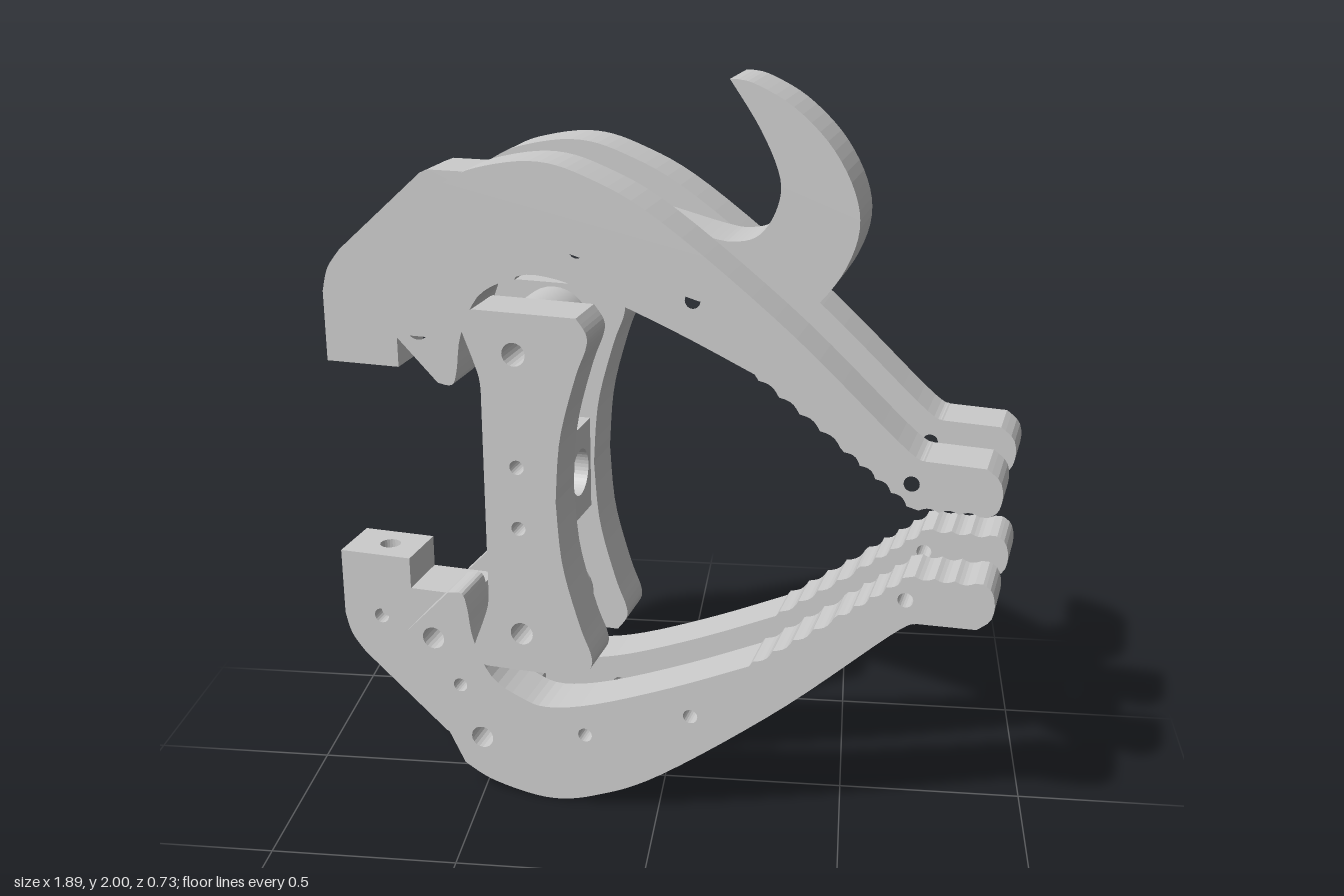
import * as THREE from 'three';

const MID = 0.903; // height of the mirror plane between upper and lower halves
const FRONT = [0.062, 0.206], BACK = [-0.252, -0.109], CORE = [-0.108, 0.06];
const material = new THREE.MeshStandardMaterial({ color: 0xcccccc });

const flipY = y => 2 * MID - y;
const smooth = (pts, n) =>
  new THREE.SplineCurve(pts.map(p => new THREE.Vector2(...p))).getPoints(n).map(p => [p.x, p.y]);

function addMesh(group, name, geometry) {
  const mesh = new THREE.Mesh(geometry, material);
  mesh.name = name;
  group.add(mesh);
  return mesh;
}

// Flat plate from an outline and [x, y, radius] holes, spanning z0..z1
function plate(group, name, outline, holes, [z0, z1], lower = false) {
  const fy = y => (lower ? flipY(y) : y);
  const shape = new THREE.Shape(outline.map(([x, y]) => new THREE.Vector2(x, fy(y))));
  for (const [x, y, r] of holes) {
    shape.holes.push(new THREE.Path().absarc(x, fy(y), r, 0, Math.PI * 2, true));
  }
  const geo = new THREE.ExtrudeGeometry(shape, { depth: z1 - z0, bevelEnabled: false, curveSegments: 10 });
  geo.translate(0, 0, z0);
  return addMesh(group, name, geo);
}

// Scalloped edge running along a polyline segment
function teeth([x0, y0], [x1, y1], count, depth) {
  const pts = [], steps = 5, len = Math.hypot(x1 - x0, y1 - y0);
  const nx = (y1 - y0) / len, ny = -(x1 - x0) / len;
  for (let i = 0; i <= count * steps; i++) {
    const t = i / (count * steps);
    const d = -depth * Math.abs(Math.sin(Math.PI * count * t));
    pts.push([x0 + (x1 - x0) * t + nx * d, y0 + (y1 - y0) * t + ny * d]);
  }
  return pts;
}

// Curved jaw arm with ridged gripping edge
const armOutline = [
  ...smooth([[-0.53, 1.73], [-0.44, 1.775], [-0.28, 1.802], [-0.14, 1.77], [0.045, 1.675],
    [0.37, 1.425], [0.66, 1.16], [0.72, 1.122]], 40),
  ...smooth([[0.87, 1.118], [0.903, 1.09], [0.912, 1.05], [0.903, 1.01], [0.88, 0.992]], 10),
  ...teeth([0.86, 0.992], [0.71, 0.992], 3, -0.008),
  ...teeth([0.68, 1.0], [0.52, 1.125], 4, -0.01),
  ...teeth([0.51, 1.135], [0.3, 1.29], 4, -0.01),
  ...smooth([[0.29, 1.305], [0.08, 1.4], [-0.14, 1.485], [-0.28, 1.515], [-0.36, 1.495],
    [-0.44, 1.445], [-0.49, 1.34], [-0.505, 1.245], [-0.52, 1.203], [-0.56, 1.205]], 36),
  [-0.685, 1.335], [-0.698, 1.365], [-0.695, 1.395],
];
const armHoles = [[-0.475, 1.64, 0.032], [-0.61, 1.35, 0.032], [-0.535, 1.485, 0.02],
  [-0.17, 1.585, 0.02], [0.13, 1.48, 0.02], [0.69, 1.06, 0.02]];

// Mounting block with a cross hole and a vertical bore
const BORE = { x: -0.837, z: -0.024, r: 0.03, half: 0.04 };
const slopeTop = x => 1.505 + 0.898 * (x + 0.895);
const mountFoot = 1.188;

function mount(group, name, lower) {
  const g = new THREE.Group();
  g.name = name;
  group.add(g);
  const xl = BORE.x - BORE.half, xr = BORE.x + BORE.half;
  const zl = BORE.z - BORE.half, zr = BORE.z + BORE.half;
  const outer = smooth([[-0.953, 1.385], [-0.935, 1.45], [-0.895, 1.505]], 8);
  const inner = [[-0.65, 1.725], [-0.625, 1.735], [-0.52, 1.735], [-0.4, 1.64], [-0.4, 1.58],
    [-0.46, 1.53], [-0.55, 1.28], [-0.74, 1.28], [-0.74, mountFoot]];
  const full = [[-0.953, mountFoot], ...outer, ...inner];
  const hole = [[BORE.x, 1.38, 0.022]];
  plate(g, 'mountCheek', full, hole, [zr, CORE[1]], lower);
  plate(g, 'mountCheek', full, hole, [CORE[0], zl], lower);
  plate(g, 'mountOuterCore', [[-0.953, mountFoot], ...outer, [xl, slopeTop(xl)], [xl, mountFoot]],
    [], [zl, zr], lower);
  plate(g, 'mountInnerCore', [[xr, mountFoot], [xr, slopeTop(xr)], ...inner], [], [zl, zr], lower);

  // Bored column, its top sheared to follow the slope
  const h = BORE.half;
  const square = new THREE.Shape([[-h, -h], [h, -h], [h, h], [-h, h]].map(p => new THREE.Vector2(...p)));
  square.holes.push(new THREE.Path().absarc(0, 0, BORE.r, 0, Math.PI * 2, true));
  const geo = new THREE.ExtrudeGeometry(square, { depth: 1, bevelEnabled: false, curveSegments: 12 });
  geo.rotateX(-Math.PI / 2).translate(BORE.x, 0, BORE.z);
  const pos = geo.attributes.position;
  for (let i = 0; i < pos.count; i++) {
    const top = slopeTop(pos.getX(i)), atTop = pos.getY(i) > 0.5;
    const y = lower ? flipY(atTop ? mountFoot : top) : (atTop ? top : mountFoot);
    pos.setY(i, y);
  }
  geo.computeVertexNormals();
  addMesh(g, 'mountBore', geo);
}

// Waisted handle plate, symmetric about the mirror plane
const handleUpper = [
  ...smooth([[-0.24, MID], [-0.225, 1.08], [-0.18, 1.25], [-0.15, 1.33], [-0.148, 1.37], [-0.175, 1.41]], 22),
  [-0.455, 1.412], ...smooth([[-0.48, 1.402], [-0.492, 1.37], [-0.46, 1.28], [-0.442, 1.22], [-0.44, 1.15]], 14),
];
const handleOutline = [...handleUpper,
  ...handleUpper.slice(1).reverse().map(([x, y]) => [x, flipY(y)])];
const handleX = -0.347;
const handleHoles = [[handleX, 1.3, 0.032], [handleX, 0.506, 0.032],
  [handleX, 0.99, 0.02], [handleX, 0.816, 0.02]];

// Curved hook whose base is held between the upper arms
const hookOutline = [
  ...smooth([[0.18, 2.0], [0.26, 1.88], [0.31, 1.765], [0.302, 1.685], [0.26, 1.62], [0.2, 1.6],
    [0.13, 1.607], [-0.05, 1.65], [-0.25, 1.69]], 40),
  [-0.25, 1.54], [0.1, 1.44],
  ...smooth([[0.32, 1.392], [0.39, 1.43], [0.47, 1.53], [0.51, 1.64], [0.497, 1.74],
    [0.435, 1.85], [0.34, 1.94], [0.245, 1.99], [0.2, 2.0]], 36),
];

export function createModel() {
  const root = new THREE.Group();
  root.name = 'gripper';
  const body = new THREE.Group();
  body.name = 'gripperBody';
  body.rotation.y = -THREE.MathUtils.degToRad(10);
  root.add(body);

  for (const lower of [false, true]) {
    const side = lower ? 'lower' : 'upper';
    plate(body, side + 'FrontArm', armOutline, armHoles, FRONT, lower);
    plate(body, side + 'BackArm', armOutline, armHoles, BACK, lower);
    mount(body, side + 'Mount', lower);

    // Round spacer and thin pin between the handle plates
    for (const [name, y, r] of [['Spacer', 1.3, 0.1], ['Pin', 0.99, 0.02]]) {
      const geo = new THREE.CylinderGeometry(r, r, 0.172, 32).rotateX(Math.PI / 2);
      addMesh(body, side + name, geo).position.set(handleX, lower ? flipY(y) : y, -0.024);
    }
  }

  plate(body, 'frontHandlePlate', handleOutline, handleHoles, FRONT);
  plate(body, 'backHandlePlate', handleOutline, handleHoles, BACK);
  plate(body, 'hook', hookOutline, [], CORE);

  // Centre block of the handle with a round opening
  const block = new THREE.Shape([[-0.086, -0.13], [0.086, -0.13], [0.086, 0.13], [-0.086, 0.13]]
    .map(p => new THREE.Vector2(...p)));
  block.holes.push(new THREE.Path().absarc(0, 0, 0.066, 0, Math.PI * 2, true));
  const blockGeo = new THREE.ExtrudeGeometry(block, { depth: 0.08, bevelEnabled: false, curveSegments: 20 });
  blockGeo.rotateY(Math.PI / 2).translate(-0.33, MID, -0.024);
  addMesh(body, 'handleCentreBlock', blockGeo);

  return root;
}
